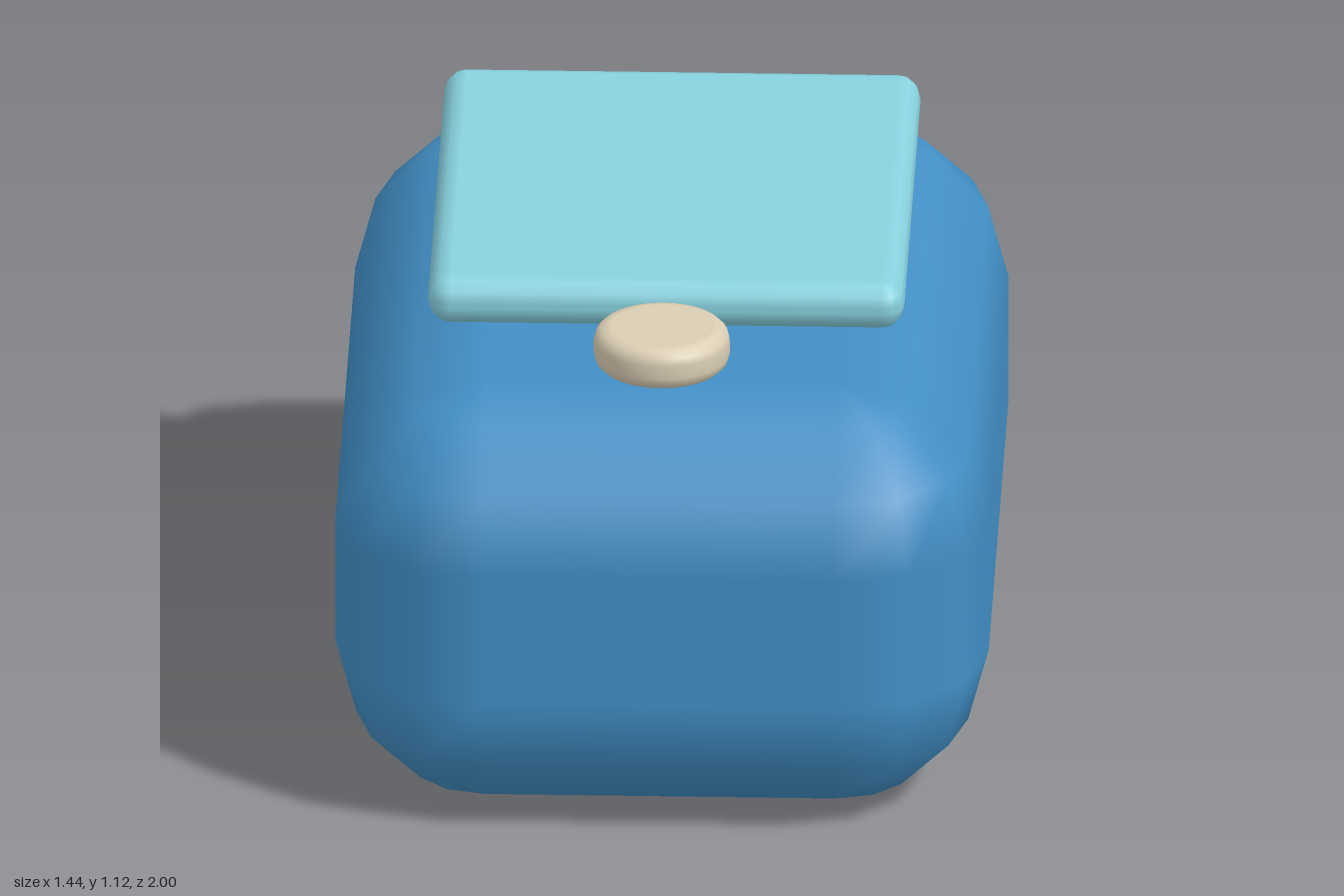
import * as THREE from 'three';

const bodyBlue = new THREE.MeshStandardMaterial({ name: 'bodyBlue', color: 0x428fc6 });
const screenAqua = new THREE.MeshStandardMaterial({ name: 'screenAqua', color: 0x88d2df });
const buttonBeige = new THREE.MeshStandardMaterial({ name: 'buttonBeige', color: 0xdacdb4 });

// Box with edges rounded in a few steps: a sphere whose octants are pulled apart
function roundedBlock(width, height, depth, radius, steps = 3) {
  const inner = [width / 2 - radius, height / 2 - radius, depth / 2 - radius];
  const positions = [], normals = [], index = [];
  const ring = 4 * (steps + 1), rows = 2 * (steps + 1);
  const quarter = Math.PI / 2;
  for (let i = 0; i < rows; i++) {
    const half = Math.floor(i / (steps + 1));
    const phi = quarter * (half + (i % (steps + 1)) / steps);
    for (let j = 0; j < ring; j++) {
      const q = Math.floor(j / (steps + 1));
      const theta = quarter * (q + (j % (steps + 1)) / steps);
      const n = [Math.sin(phi) * Math.cos(theta), Math.cos(phi), Math.sin(phi) * Math.sin(theta)];
      const sign = [q === 0 || q === 3 ? 1 : -1, half === 0 ? 1 : -1, q < 2 ? 1 : -1];
      normals.push(...n);
      positions.push(...n.map((v, k) => v * radius + sign[k] * inner[k]));
      if (i < rows - 1) {
        const a = i * ring + j, b = i * ring + (j + 1) % ring;
        index.push(a, b, b + ring, a, b + ring, a + ring);
      }
    }
  }
  // Flat top and bottom
  const s = steps + 1, base = (rows - 1) * ring;
  index.push(0, 2 * s, s, 0, 3 * s, 2 * s);
  index.push(base, base + s, base + 2 * s, base, base + 2 * s, base + 3 * s);
  const geometry = new THREE.BufferGeometry();
  geometry.setAttribute('position', new THREE.Float32BufferAttribute(positions, 3));
  geometry.setAttribute('normal', new THREE.Float32BufferAttribute(normals, 3));
  geometry.setIndex(index);
  return geometry;
}

function addPart(group, name, geometry, material, x, y, z) {
  const mesh = new THREE.Mesh(geometry, material);
  mesh.name = name;
  mesh.position.set(x, y, z);
  group.add(mesh);
}

export function createModel() {
  const group = new THREE.Group();
  group.name = 'device';

  // Chunky rounded body
  addPart(group, 'body', roundedBlock(1.44, 0.974, 2, 0.335), bodyBlue, 0, 0.487, 0);

  // Thin slab hovering just above the body
  addPart(group, 'screen', roundedBlock(1.05, 0.11, 1.19, 0.05), screenAqua, 0, 1.045, -0.155);

  // Round button with softened rims
  const r = 0.15, h = 0.0475, bevel = 0.032;
  const profile = [new THREE.Vector2(0, -h), new THREE.Vector2(r - bevel - 0.004, -h)];
  for (const side of [-1, 1]) {
    for (let i = 0; i <= 3; i++) {
      const a = (Math.PI / 2) * (side < 0 ? i / 3 - 1 : i / 3);
      profile.push(new THREE.Vector2(r - bevel + bevel * Math.cos(a), side * (h - bevel) + bevel * Math.sin(a)));
    }
  }
  profile.push(new THREE.Vector2(r - bevel - 0.004, h), new THREE.Vector2(0, h));
  addPart(group, 'button', new THREE.LatheGeometry(profile, 32), buttonBeige, 0, 1.0725, 0.695);

  return group;
}
